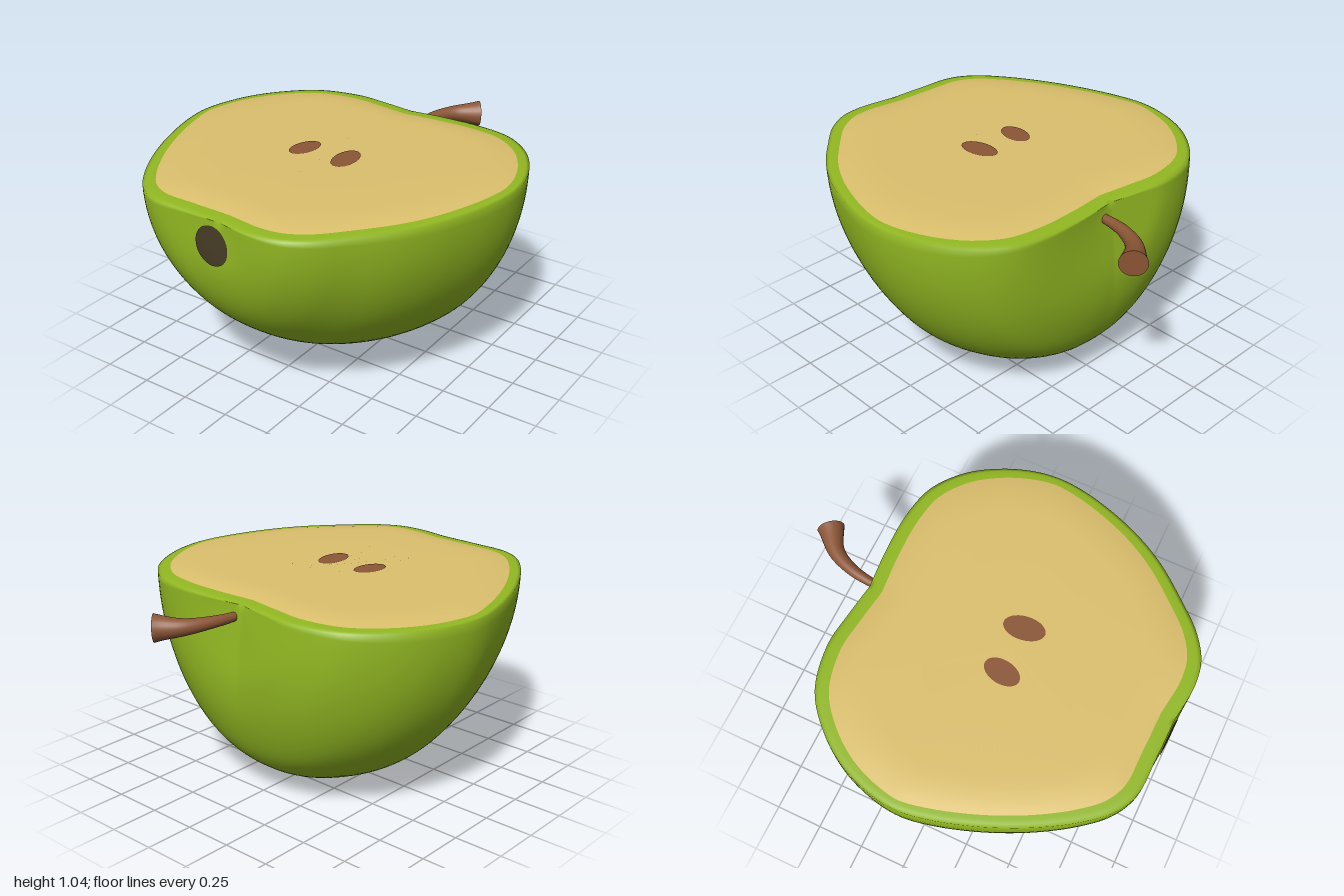
import * as THREE from 'three';
import { mergeGeometries, mergeVertices } from 'three/addons/utils/BufferGeometryUtils.js';

const V = (x, y, z) => new THREE.Vector3(x, y, z);
const mat = (name, color) => Object.assign(new THREE.MeshStandardMaterial({ color }), { name });

// Smooth sheet through equal-length rows of points; faces look along column x row
function sheet(rows) {
  const n = rows[0].length, index = [];
  for (let r = 0; r < rows.length - 1; r++) {
    for (let c = 0; c < n - 1; c++) {
      const a = r * n + c, b = a + 1, d = a + n, e = d + 1;
      index.push(a, b, d, b, e, d);
    }
  }
  const g = new THREE.BufferGeometry().setFromPoints(rows.flat());
  g.setIndex(index);
  g.computeVertexNormals();
  return g;
}

// Join sheets and smooth across their shared borders
function weld(...sheets) {
  const g = mergeGeometries(sheets);
  g.deleteAttribute('normal');
  const welded = mergeVertices(g, 1e-4);
  welded.computeVertexNormals();
  return welded;
}

// Profiles from stem dimple to blossom end, as [distance from core, z]
const profile = pts => new THREE.CatmullRomCurve3(pts.map(([r, z]) => V(r, 0, z))).getPoints(80);
const right = profile([[0, -.615], [.2, -.63], [.42, -.627], [.6, -.585], [.75, -.47], [.85, -.32],
  [.91, -.16], [.928, -.02], [.912, .13], [.865, .3], [.8, .46], [.712, .61], [.58, .77], [.455, .9],
  [.33, .975], [.2, .995], [0, .972]]);
const left = profile([[0, -.615], [.17, -.64], [.35, -.658], [.58, -.605], [.74, -.475], [.855, -.31],
  [.917, -.13], [.93, 0], [.908, .14], [.858, .31], [.795, .47], [.72, .62], [.625, .77], [.52, .89],
  [.4, .955], [.2, .967], [0, .972]]);
const bottom = profile([[0, -.615], [.2, -.64], [.4, -.657], [.6, -.632], [.8, -.55], [.91, -.42],
  [.975, -.25], [1, -.1], [.985, .04], [.945, .21], [.88, .39], [.795, .56], [.69, .71], [.57, .84],
  [.43, .93], [.25, .98], [0, .972]]);

// One skin meridian, swept from the +x cut edge under the core to the -x cut edge
function meridian(angle) {
  const c = Math.cos(angle), s = Math.sin(angle), side = c > 0 ? right : left;
  const swell = .035 * Math.max(0, -2 * s * c); // fuller shoulder behind the -x side
  return side.map((p, i) => {
    const x = p.x * c, b = bottom[i];
    const z = THREE.MathUtils.lerp(p.z, b.z, s * s);
    return V(x, 1.01 + .008 * x - 1.007 * b.x * s, z < 0 ? z * (1 + swell * Math.min(1, p.x / .3)) : z);
  });
}

// Disc laid onto a surface along a direction
function decal(target, center, rx, ry, turn, dir) {
  const ray = new THREE.Raycaster(), rows = [];
  const down = Math.abs(dir.y) > .5;
  for (let k = 0; k <= 4; k++) {
    const row = [];
    for (let i = 0; i <= 40; i++) {
      const a = i / 40 * Math.PI * 2, f = Math.max(1 - k / 4, .001);
      const u = rx * f * Math.cos(a), v = ry * f * Math.sin(a);
      const p = V(u * Math.cos(turn) - v * Math.sin(turn), u * Math.sin(turn) + v * Math.cos(turn), 0);
      if (down) p.set(p.x, 0, -p.y);
      p.add(center);
      ray.set(p.clone().addScaledVector(dir, -2), dir);
      const hit = ray.intersectObject(target)[0];
      row.push((hit ? hit.point : p).clone().addScaledVector(dir, -.004));
    }
    rows.push(row);
  }
  return sheet(rows);
}

export function createModel() {
  const group = new THREE.Group();
  const green = mat('green skin', 0x92b822), cream = mat('cream flesh', 0xdcc06d);
  const brown = mat('brown', 0x8c5636), dark = mat('dark blossom end', 0x453b24);
  const add = (name, geometry, material) => {
    const m = new THREE.Mesh(geometry, material);
    m.name = name;
    group.add(m);
    return m;
  };

  // Cut outline: up the left side, back along the right
  const rows = [];
  for (let i = 0; i <= 64; i++) rows.push(meridian(i / 64 * Math.PI));
  const loop = [...rows[64].slice(0, -1), ...rows[0].slice(1).reverse()];
  const n = loop.length;
  const inward = loop.map((p, i) => {
    const t = loop[(i + 3) % n].clone().sub(loop[(i + n - 3) % n]);
    return V(t.z, 0, -t.x).normalize();
  });
  const ring = (f, rise) => {
    const pts = loop.map((p, i) => {
      const w = (.045 + .025 * Math.abs(inward[i].z)) * f;
      return p.clone().addScaledVector(inward[i], w).add(V(0, rise, 0));
    });
    return [...pts, pts[0].clone()];
  };

  // Half-apple skin with its soft rim around the cut
  const rim = sheet([ring(0, 0), ring(.3, .005), ring(.65, .007), ring(1, .008)]);
  const skin = add('skin', weld(sheet(rows), rim), green);

  // Gently domed cut flesh
  const edge = ring(1, .008);
  const flesh = add('cutFlesh', weld(sheet([[1, 0], [.96, .006], [.91, .012], [.85, .016], [.78, .018], [.5, .019], [0, .019]]
    .map(([s, rise]) => edge.map(p => V(p.x * s, p.y - .008 * p.x * (1 - s) + rise, .15 + (p.z - .15) * s))))), cream);

  // Seeds and blossom end
  const down = V(0, -1, 0);
  add('leftSeed', decal(flesh, V(.111, 1, .156), .061, .104, .12, down), brown);
  add('rightSeed', decal(flesh, V(-.133, 1, .153), .059, .094, -.16, down), brown);
  add('blossomEnd', decal(skin, V(-.04, .885, 1), .095, .097, 0, V(0, 0, -1)), dark);

  // Curved stem flaring to a flat end
  const path = new THREE.CatmullRomCurve3([V(.045, .945, -.57), V(.05, .945, -.66), V(.07, .945, -.76),
    V(.125, .94, -.87), V(.229, .935, -.956)]);
  const steps = 24, frames = path.computeFrenetFrames(steps);
  const stemRows = [];
  for (let i = 0; i <= steps; i++) {
    const t = i / steps, r = .02 + .022 * t + .026 * t ** 4, c = path.getPointAt(t), row = [];
    for (let k = 0; k <= 24; k++) {
      const a = k / 24 * Math.PI * 2;
      row.push(c.clone().addScaledVector(frames.normals[i], r * Math.cos(a))
        .addScaledVector(frames.binormals[i], r * Math.sin(a)));
    }
    stemRows.push(row);
  }
  add('stem', sheet(stemRows), brown);
  const tip = path.getPointAt(1);
  add('stemEnd', sheet([stemRows[steps], stemRows[steps].map(() => tip.clone())]), brown);
  return group;
}
